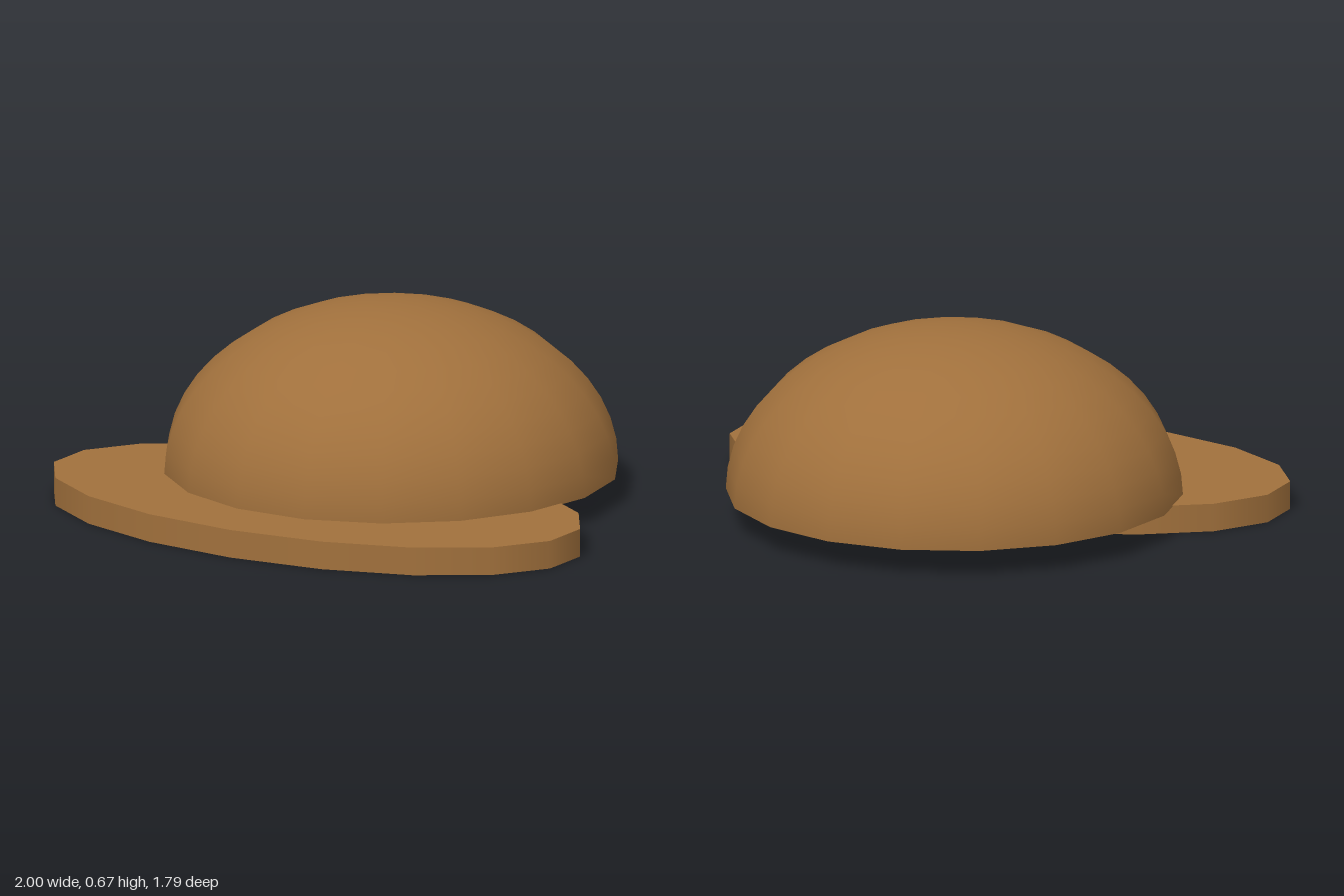
import * as THREE from 'three';

const SIDES = 18;

export function createModel() {
  const cap = new THREE.Group();
  cap.name = 'cap';
  const material = new THREE.MeshStandardMaterial({ color: 0xa0703c, side: THREE.DoubleSide });

  // Crown: hollow half sphere, open below, slightly flattened
  const crownShape = new THREE.SphereGeometry(0.78, SIDES, 12, 0, Math.PI * 2, 0, Math.PI / 2);
  crownShape.scale(1, 0.58 / 0.78, 1);
  const crown = new THREE.Mesh(crownShape, material);
  crown.name = 'crown';
  crown.position.set(0, 0.093, -0.13);
  cap.add(crown);

  // Brim: thin oval disc, pushed forward under the crown
  const thickness = 0.097;
  const brimShape = new THREE.CylinderGeometry(1, 1, thickness, SIDES);
  brimShape.scale(1.015, 1, 0.553);
  const brim = new THREE.Mesh(brimShape, material);
  brim.name = 'brim';
  brim.position.set(0, thickness / 2, 0.342);
  cap.add(brim);

  return cap;
}
